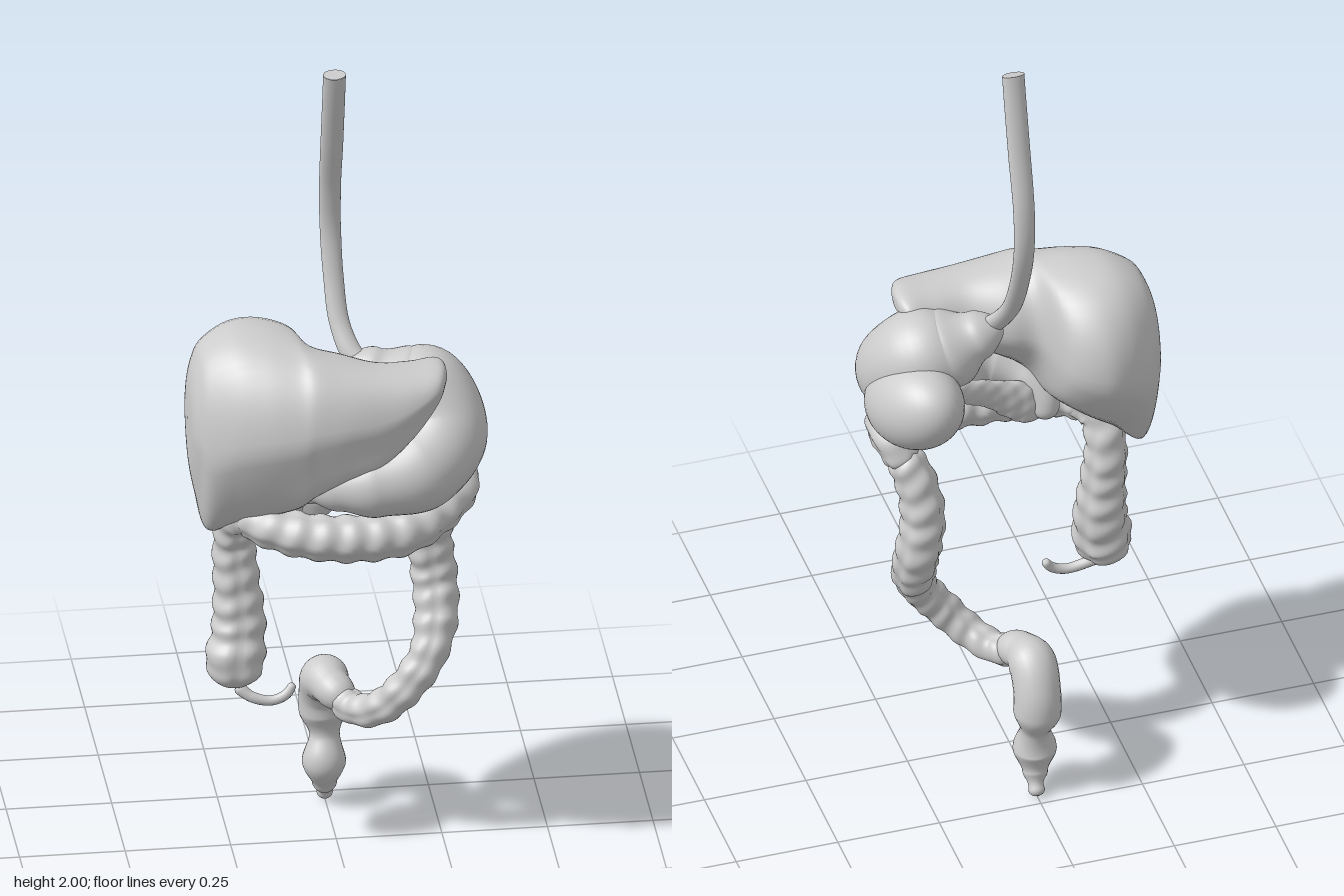
import * as THREE from 'three';
import { mergeVertices } from 'three/addons/utils/BufferGeometryUtils.js';

const tissue = new THREE.MeshStandardMaterial({ color: 0xcccccc });
tissue.name = 'tissue grey';

// Weld seams so the normals run smoothly all round
function smooth(geo) {
  geo.deleteAttribute('uv');
  geo.deleteAttribute('normal');
  const welded = mergeVertices(geo, 1e-5);
  welded.computeVertexNormals();
  return welded;
}

function add(group, name, geo) {
  const mesh = new THREE.Mesh(geo, tissue);
  mesh.name = name;
  group.add(mesh);
  return mesh;
}

// Organ swept along [x, y, z, radius] points, with optional ripple and flattening
function sweep(pts, { segs = 120, sides = 24, round = true, flat = 1, ripple = () => 1 } = {}) {
  const curve = new THREE.CatmullRomCurve3(pts.map(p => new THREE.Vector3(p[0], p[1], p[2])));
  curve.arcLengthDivisions = 500;
  const length = curve.getLength();
  const geo = new THREE.TubeGeometry(curve, segs, 1, sides, false);
  const pos = geo.attributes.position;
  const v = new THREE.Vector3();
  for (let i = 0; i <= segs; i++) {
    const u = i / segs;
    const center = curve.getPointAt(u);
    const f = curve.getUtoTmapping(u) * (pts.length - 1);
    const k = Math.min(Math.floor(f), pts.length - 2);
    let r = THREE.MathUtils.lerp(pts[k][3], pts[k + 1][3], THREE.MathUtils.smoothstep(f - k, 0, 1));
    if (round) {
      const end = Math.min(1, Math.min(u, 1 - u) * length / r);
      r *= Math.sqrt(Math.max(0, 1 - (1 - end) ** 2));
    }
    for (let j = 0; j <= sides; j++) {
      const n = i * (sides + 1) + j;
      v.fromBufferAttribute(pos, n).sub(center);
      v.multiplyScalar(r * ripple(u * length, (j % sides) / sides * Math.PI * 2));
      v.z *= flat;
      v.add(center);
      pos.setXYZ(n, v.x, v.y, v.z);
    }
  }
  return smooth(geo);
}

// Pouches of the colon, divided by three lengthwise bands
const pouches = (s, a) => {
  const bulge = Math.sin(s * Math.PI / 0.062 + 0.5 * Math.sin(2 * a)) ** 2;
  const band = Math.max(0, Math.cos(3 * a)) ** 3;
  return 0.93 + 0.11 * bulge * (1 - 0.6 * band) - 0.07 * band;
};

// Liver: upright slices along x as [x, back z, front z, bottom y, top y, lower edge z]
function liverGeometry() {
  const slices = [
    [-0.356, 0.02, 0.02, 1.145, 1.145, 0.02],
    [-0.352, -0.06, 0.095, 1.03, 1.23, 0.01],
    [-0.335, -0.12, 0.135, 0.93, 1.29, 0.00],
    [-0.31, -0.16, 0.165, 0.845, 1.325, 0.00],
    [-0.25, -0.197, 0.2, 0.88, 1.355, 0.04],
    [-0.18, -0.207, 0.225, 0.915, 1.36, 0.08],
    [-0.11, -0.16, 0.238, 0.955, 1.35, 0.13],
    [-0.07, -0.04, 0.242, 1.00, 1.337, 0.17],
    [0.0, -0.01, 0.243, 1.045, 1.32, 0.19],
    [0.08, 0.033, 0.236, 1.08, 1.305, 0.20],
    [0.16, 0.04, 0.222, 1.15, 1.30, 0.19],
    [0.22, 0.045, 0.195, 1.22, 1.30, 0.16],
    [0.242, 0.075, 0.15, 1.25, 1.29, 0.12],
    [0.246, 0.112, 0.112, 1.27, 1.27, 0.112],
  ];
  const spline = pick => new THREE.CatmullRomCurve3(
    slices.map(s => new THREE.Vector3(...pick.map(i => s[i]))), false, 'catmullrom', 0.5);
  const depths = spline([0, 1, 2]);
  const heights = spline([3, 4, 5]);
  const geo = new THREE.PlaneGeometry(1, 1, 78, 48);
  const pos = geo.attributes.position;
  for (let i = 0; i < pos.count; i++) {
    const u = pos.getX(i) + 0.5;
    const t = (pos.getY(i) + 0.5) * Math.PI * 2;
    const d = depths.getPoint(u);
    const h = heights.getPoint(u);
    const v = (1 - Math.cos(t)) / 2;
    const w = Math.sin(t);
    const half = (d.z - d.y) / 2 * Math.sign(w) * Math.abs(w) ** 0.85 * (0.7 + 0.3 * Math.min(1, v * 2));
    const mid = THREE.MathUtils.lerp(h.z, (d.y + d.z) / 2, 1 - (1 - v) ** 4);
    pos.setXYZ(i, d.x, THREE.MathUtils.lerp(h.x, h.y, v), mid + half);
  }
  return smooth(geo);
}

export function createModel() {
  const model = new THREE.Group();
  model.name = 'digestiveSystem';

  // Gullet, a slightly flattened pipe with a flat top
  add(model, 'esophagus', sweep([
    [0, 1.997, -0.033, 0.027], [0, 1.95, -0.043, 0.027], [0, 1.8, -0.08, 0.027],
    [0, 1.65, -0.118, 0.026], [0.002, 1.54, -0.124, 0.025], [0.006, 1.43, -0.1, 0.024],
    [0.015, 1.33, -0.06, 0.024], [0.04, 1.265, -0.02, 0.026], [0.07, 1.235, 0.005, 0.026],
  ], { round: false, flat: 0.62 }));
  const top = add(model, 'esophagusTop', new THREE.CircleGeometry(0.027, 24));
  top.rotation.x = -Math.PI / 2 + 0.28;
  top.scale.y = 0.64;
  top.position.set(0, 1.997, -0.033);

  add(model, 'liver', liverGeometry());

  // Stomach: dome at the back, curving forward and across to the outlet
  add(model, 'stomach', sweep([
    [0.02, 1.25, -0.015, 0.035], [0.08, 1.225, -0.005, 0.06], [0.14, 1.195, 0.008, 0.096],
    [0.2, 1.172, 0.026, 0.118], [0.235, 1.1, 0.085, 0.112], [0.18, 1.045, 0.145, 0.106],
    [0.07, 1.02, 0.168, 0.084], [-0.01, 1.01, 0.155, 0.062], [-0.07, 0.99, 0.11, 0.042],
    [-0.105, 0.95, 0.07, 0.034], [-0.11, 0.89, 0.06, 0.034],
  ], { sides: 40 }));

  // Spleen, a tilted oval tucked behind the stomach
  const spleen = add(model, 'spleen', new THREE.SphereGeometry(1, 40, 28));
  spleen.scale.set(0.102, 0.11, 0.16);
  spleen.rotation.set(0.48, 0.25, 0);
  spleen.position.set(0.246, 1.088, -0.042);

  // Parts tucked under the liver
  add(model, 'pancreas', sweep([
    [-0.11, 0.9, 0.07, 0.05], [-0.05, 0.945, 0.07, 0.052], [0.04, 1.0, 0.055, 0.036],
    [0.12, 1.035, 0.03, 0.03], [0.2, 1.05, -0.01, 0.02],
  ], {
    flat: 0.5,
    ripple: (s, a) => 1 + 0.06 * Math.sin(s * 130) * Math.cos(4 * a),
  }));
  add(model, 'gallbladder', sweep([
    [-0.17, 0.92, 0.12, 0.03], [-0.15, 0.97, 0.09, 0.032], [-0.12, 1.02, 0.05, 0.014],
  ], { segs: 40 }));

  // Large bowel: up the right side, across the front, down the left side
  add(model, 'ascendingColon', sweep([
    [-0.255, 0.445, 0.055, 0.066], [-0.247, 0.51, 0.05, 0.072], [-0.235, 0.6, 0.03, 0.064],
    [-0.24, 0.72, 0.02, 0.055], [-0.245, 0.82, 0.02, 0.05], [-0.235, 0.89, 0.05, 0.05],
    [-0.18, 0.905, 0.11, 0.05],
  ], { segs: 150, sides: 36, ripple: pouches }));
  add(model, 'transverseColon', sweep([
    [-0.23, 0.9, 0.06, 0.048], [-0.17, 0.895, 0.125, 0.052], [-0.08, 0.884, 0.165, 0.055],
    [0.03, 0.88, 0.18, 0.057], [0.14, 0.888, 0.17, 0.057], [0.22, 0.912, 0.13, 0.054],
    [0.28, 0.945, 0.075, 0.05], [0.285, 0.95, 0.02, 0.046], [0.255, 0.89, -0.025, 0.046],
  ], { segs: 190, sides: 36, ripple: pouches }));
  add(model, 'descendingColon', sweep([
    [0.27, 0.93, -0.005, 0.046], [0.24, 0.85, -0.035, 0.05], [0.228, 0.76, -0.052, 0.054],
    [0.238, 0.66, -0.05, 0.055], [0.238, 0.57, -0.012, 0.053], [0.215, 0.49, 0.028, 0.046],
    [0.16, 0.41, 0.04, 0.044], [0.1, 0.345, 0.012, 0.042], [0.05, 0.32, -0.04, 0.04],
    [0.01, 0.335, -0.09, 0.04],
  ], { segs: 200, sides: 36, ripple: pouches }));

  // Rectum, narrowing between two swellings
  add(model, 'rectum', sweep([
    [0.04, 0.325, -0.05, 0.036], [0.005, 0.345, -0.1, 0.046], [-0.008, 0.345, -0.155, 0.057],
    [-0.008, 0.29, -0.195, 0.056], [-0.006, 0.24, -0.203, 0.057], [-0.003, 0.18, -0.195, 0.036],
    [-0.006, 0.115, -0.182, 0.052], [-0.003, 0.055, -0.195, 0.03], [0, 0.028, -0.21, 0.018],
    [0, 0.002, -0.225, 0.022],
  ]));

  add(model, 'appendix', sweep([
    [-0.245, 0.45, 0.06, 0.016], [-0.21, 0.425, 0.075, 0.013], [-0.165, 0.415, 0.08, 0.012],
    [-0.13, 0.428, 0.08, 0.012], [-0.11, 0.455, 0.075, 0.01],
  ], { segs: 50, sides: 14 }));

  return model;
}
